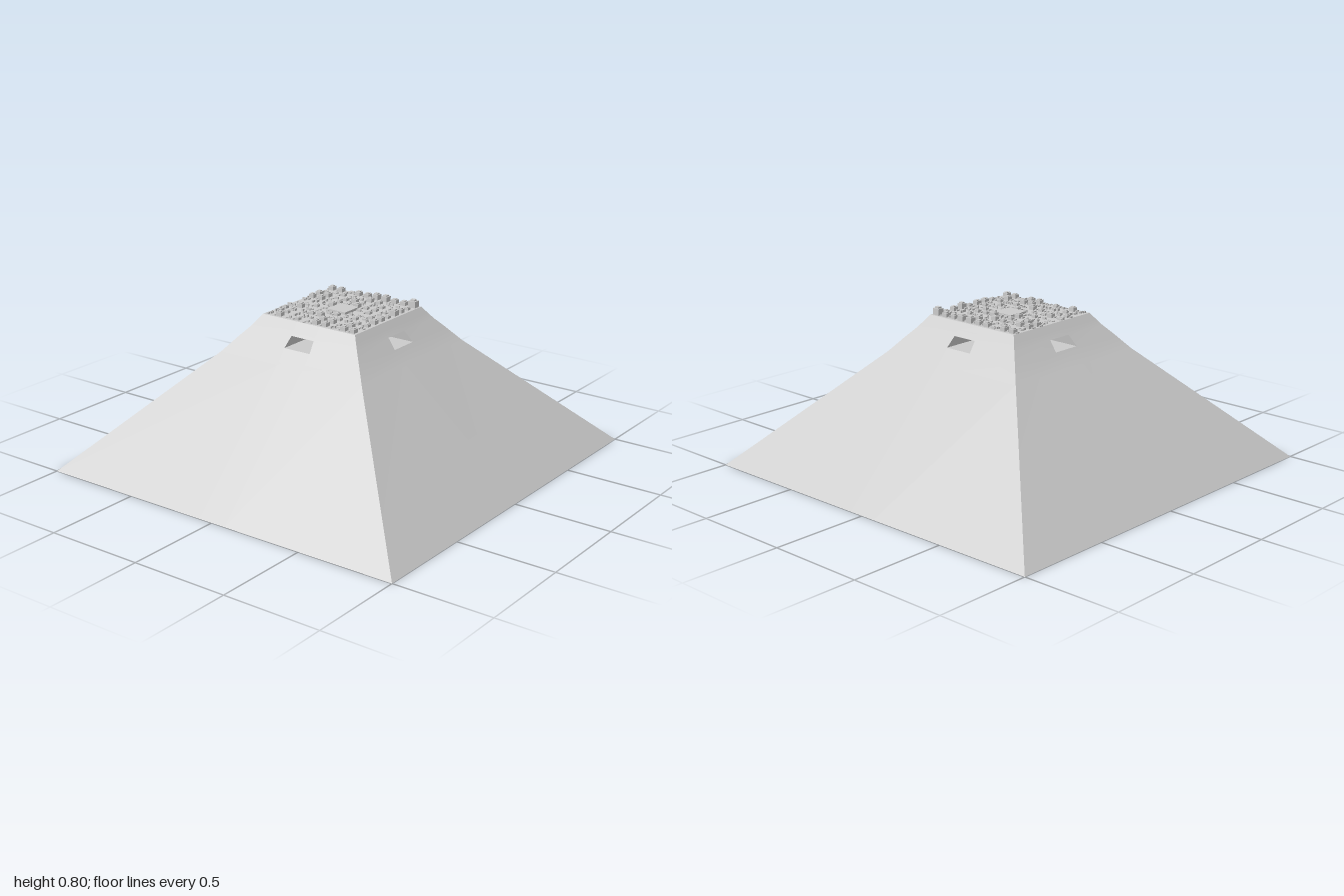
import * as THREE from 'three';
import { mergeGeometries } from 'three/addons/utils/BufferGeometryUtils.js';

const material = new THREE.MeshStandardMaterial({ color: 0xcccccc });
const thin = new THREE.MeshStandardMaterial({ color: 0xcccccc, side: THREE.DoubleSide });

// Slope profile: height, half width, half width of the middle column (tunnel mouth)
const LEVELS = [
  [0, 1, 0.075], [0.58, 0.42, 0.075], [0.65, 0.362, 0.075],
  [0.70, 0.318, 0.066], [0.73, 0.296, 0.066], [0.76, 0.274, 0.066],
];
const MOUTH = 2; // the band that is open in the middle
const ROOF = 0.76;

function surface(points, index) {
  const g = new THREE.BufferGeometry();
  g.setAttribute('position', new THREE.Float32BufferAttribute(points.flat(), 3));
  g.setIndex(index);
  g.computeVertexNormals();
  return g;
}

const quad = (a, b, c, d) => surface([a, b, c, d], [0, 1, 2, 0, 2, 3]);

function mesh(name, geometry, mat = material) {
  const m = new THREE.Mesh(geometry, mat);
  m.name = name;
  return m;
}

// One sloping side facing +z, with the tunnel mouth left open
function slopeGeometry() {
  const points = [], index = [];
  for (const [y, w, h] of LEVELS) for (const x of [-w, -h, h, w]) points.push([x, y, w]);
  for (let r = 0; r < LEVELS.length - 1; r++) {
    for (let c = 0; c < 3; c++) {
      if (r === MOUTH && c === 1) continue;
      const a = r * 4 + c;
      index.push(a, a + 1, a + 5, a, a + 5, a + 4);
    }
  }
  return surface(points, index);
}

// Floor, ceiling and walls from one mouth to the central crossing
function tunnelGeometry() {
  const [y0, z0, w0] = LEVELS[MOUTH], [y1, z1, w1] = LEVELS[MOUTH + 1];
  const parts = [
    quad([-w0, y0, z0], [w0, y0, z0], [w0, y0, w0], [-w0, y0, w0]),
    quad([-w1, y1, w1], [w1, y1, w1], [w1, y1, z1], [-w1, y1, z1]),
  ];
  for (const s of [-1, 1]) {
    const p = [[s * w0, y0, z0], [s * w0, y0, w0], [s * w1, y1, w1], [s * w1, y1, z1]];
    parts.push(s < 0 ? quad(...p) : quad(...p.reverse()));
  }
  return mergeGeometries(parts);
}

function flat(name, size, y, up) {
  const g = new THREE.PlaneGeometry(size, size).rotateX(up ? -Math.PI / 2 : Math.PI / 2);
  return mesh(name, g.translate(0, y, 0));
}

function seeded(seed) {
  return () => (seed = (seed * 16807) % 2147483647) / 2147483647;
}

// City blocks from back to front: 0 low clutter, 1-4 building height, x plaza
const CITY = [
  '2202233224',
  '0010021001',
  '2201200102',
  '2201021103',
  '0002xx0101',
  '0010xx0012',
  '0200010102',
  '1001201011',
  '0100022020',
  '0201022022',
];

function box(w, h, d, x, y, z) {
  return new THREE.BoxGeometry(w, h, d).translate(x, y + h / 2, z);
}

function createCity() {
  const rnd = seeded(4127), buildings = [], clutter = [];
  const pitch = 0.0548;
  CITY.forEach((row, j) => [...row].forEach((cell, i) => {
    if (cell === 'x') return;
    const x = (i - 4.5) * pitch, z = (j - 4.5) * pitch, size = Number(cell);
    if (size > 0) {
      // A block with a raised core and a small neighbour
      const w = 0.017 + 0.005 * size + rnd() * 0.004, d = 0.017 + 0.004 * size + rnd() * 0.006;
      const h = 0.007 + size * 0.0083;
      buildings.push(box(w, h * 0.8, d, x, ROOF, z));
      buildings.push(box(w * 0.6, h * 0.2, d * 0.6, x, ROOF + h * 0.8, z));
      clutter.push(box(0.008, 0.006, 0.02, x - 0.021, ROOF, z + 0.006));
    } else {
      // Low sheds and walls
      for (let k = 0; k < 5; k++) {
        const long = 0.008 + rnd() * 0.016, short = 0.004 + rnd() * 0.006, turn = rnd() < 0.5;
        clutter.push(box(turn ? long : short, 0.003 + rnd() * 0.01, turn ? short : long,
          x + (rnd() - 0.5) * 0.03, ROOF, z + (rnd() - 0.5) * 0.03));
      }
    }
  }));
  const city = new THREE.Group();
  city.name = 'city';
  city.add(mesh('buildings', mergeGeometries(buildings)));
  city.add(mesh('lowBlocks', mergeGeometries(clutter)));
  city.add(mesh('plaza', box(0.11, 0.012, 0.11, 0, ROOF, 0)));
  return city;
}

export function createModel() {
  const model = new THREE.Group();
  model.name = 'hilltopCity';

  // Four slopes, each with its tunnel
  const slope = slopeGeometry(), tunnel = tunnelGeometry();
  ['front', 'left', 'back', 'right'].forEach((side, i) => {
    const group = new THREE.Group();
    group.name = side + 'Side';
    group.add(mesh('slope', slope), mesh('tunnel', tunnel, thin));
    group.rotation.y = i * Math.PI / 2;
    model.add(group);
  });

  // Base, roof and the crossing where the tunnels meet
  model.add(flat('base', 2, 0, false));
  model.add(flat('roof', 2 * LEVELS.at(-1)[1], ROOF, true));
  model.add(flat('crossingFloor', 0.15, 0.65, true));
  model.add(flat('crossingCeiling', 0.132, 0.70, false));

  model.add(createCity());
  return model;
}
